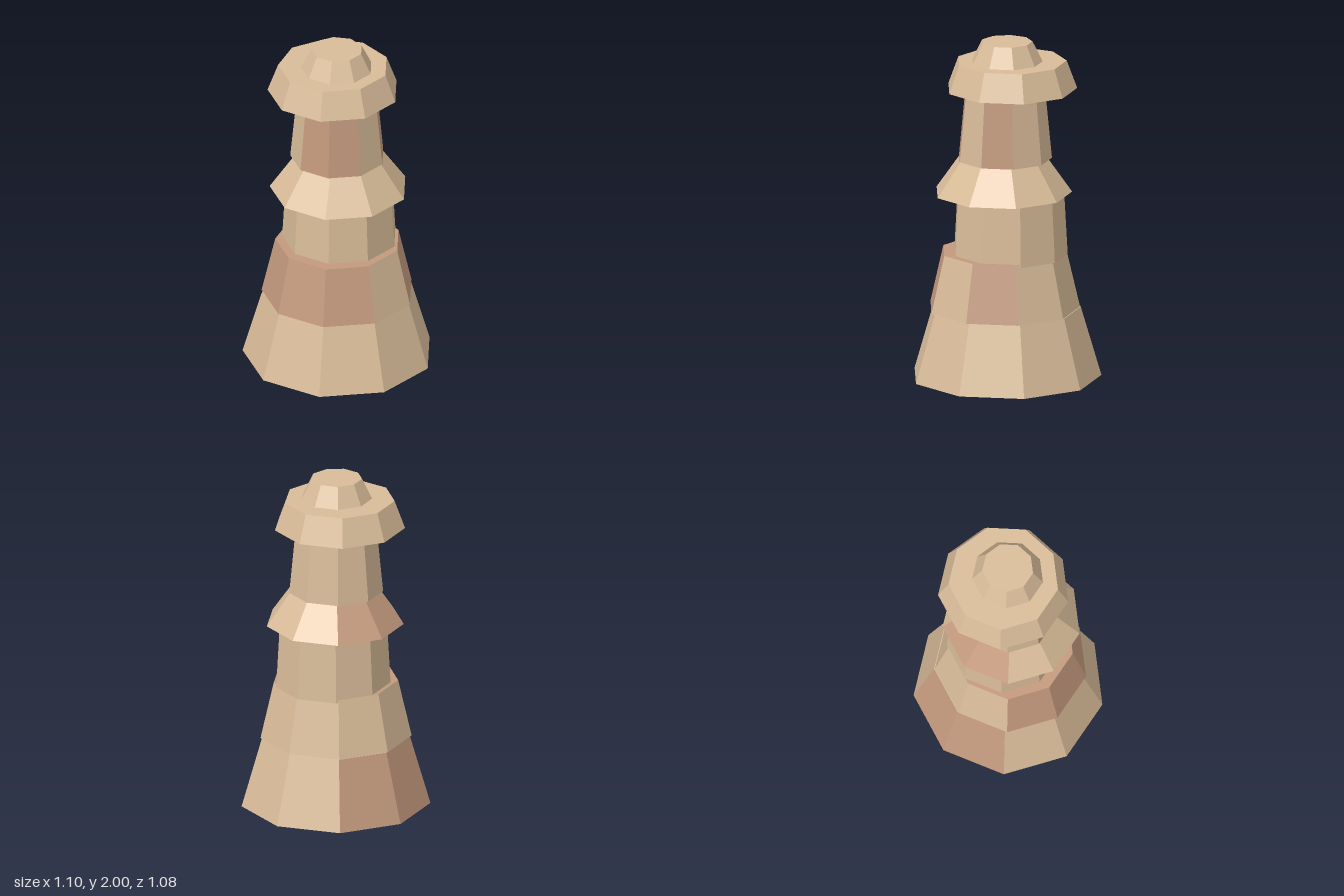
import * as THREE from 'three';

const SIDES = 9;
const STEP = (Math.PI * 2) / SIDES;

// Sides are numbered from the front (0) round towards +x; 'top' and 'bottom' are the caps.
const TIERS = [
  { name: 'base', y: [0, 0.41], r: [0.557, 0.437], x: 0, z: 0.017, clay: [5, 6, 'bottom'] },
  { name: 'lowerBand', y: [0.41, 0.75], r: [0.446, 0.367], x: -0.002, z: 0.03, clay: [0, 2, 7, 8, 'top', 'bottom'] },
  { name: 'middleShaft', y: [0.732, 1.11], r: [0.338, 0.317], x: 0.014, z: -0.006, clay: [] },
  { name: 'skirt', y: [1.1, 1.305], r: [0.404, 0.26], x: 0.002, z: 0.034, clay: [5, 6, 'bottom'] },
  { name: 'upperShaft', y: [1.302, 1.725], r: [0.277, 0.236], x: -0.004, z: 0.024, clay: [0, 2, 8] },
  { name: 'cap', y: [1.715, 1.88], r: [0.384, 0.323], x: -0.023, z: -0.016, clay: [] },
  { name: 'crown', y: [1.87, 2], r: [0.214, 0.15], x: -0.007, z: 0.01, clay: [] },
];

// Tapered nine-sided block with one material group for each face
function makeTier({ name, y, r, x, z, clay }, materials) {
  const height = y[1] - y[0];
  const geometry = new THREE.CylinderGeometry(r[1], r[0], height, SIDES, 1, false, -STEP / 2).toNonIndexed();
  geometry.computeVertexNormals();
  const colour = (face) => (clay.includes(face) ? 1 : 0);
  geometry.clearGroups();
  for (let k = 0; k < SIDES; k++) geometry.addGroup(k * 6, 6, colour(k));
  geometry.addGroup(SIDES * 6, SIDES * 3, colour('top'));
  geometry.addGroup(SIDES * 9, SIDES * 3, colour('bottom'));
  const mesh = new THREE.Mesh(geometry, materials);
  mesh.name = name;
  mesh.position.set(x, y[0] + height / 2, z);
  return mesh;
}

export function createModel() {
  const sand = new THREE.MeshStandardMaterial({ color: 0xd9bc99 });
  sand.name = 'sandstone';
  const clay = new THREE.MeshStandardMaterial({ color: 0xc3997d });
  clay.name = 'clay';

  const tower = new THREE.Group();
  tower.name = 'stackedTower';
  for (const tier of TIERS) tower.add(makeTier(tier, [sand, clay]));
  return tower;
}
